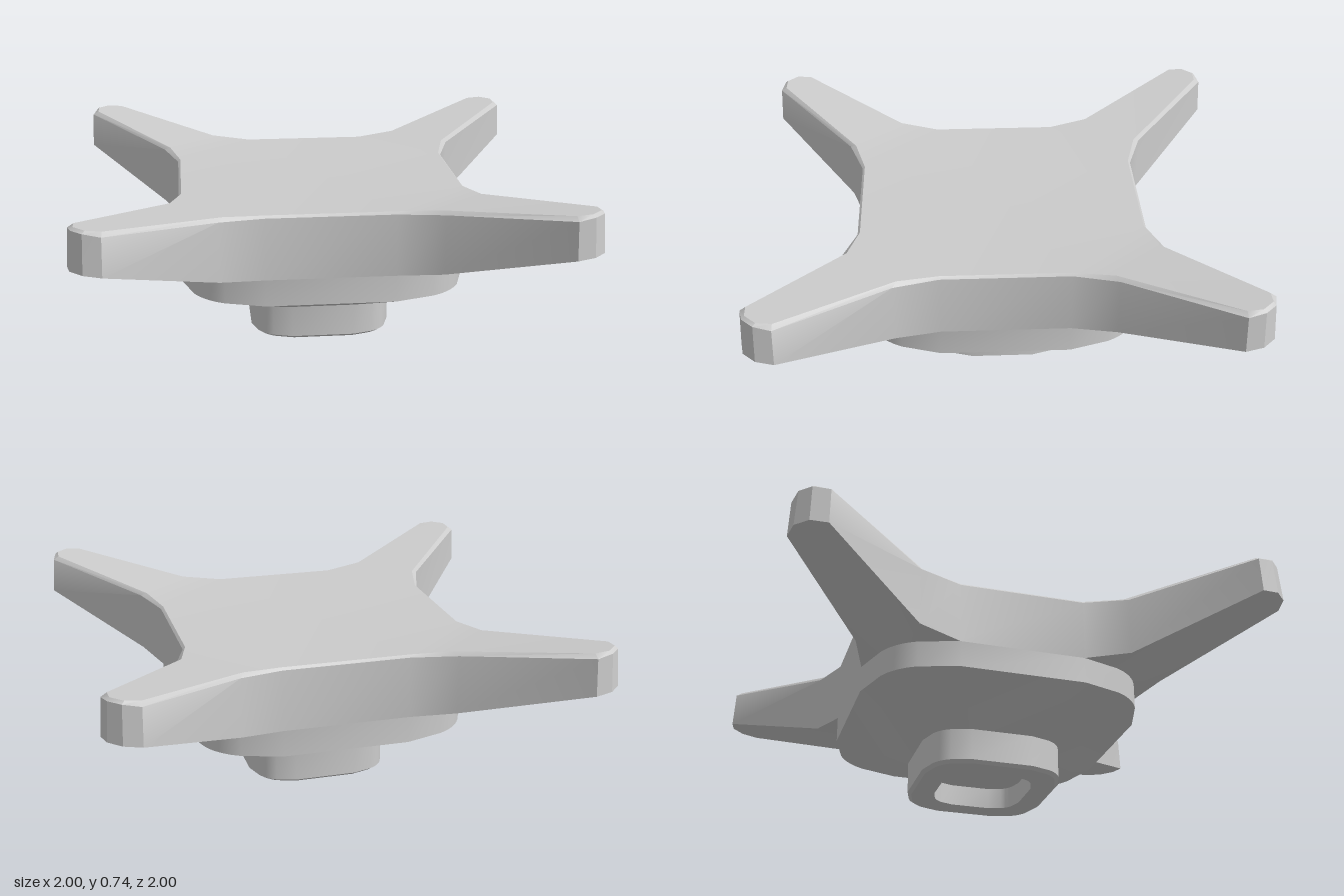
import * as THREE from 'three';
import { toCreasedNormals } from 'three/addons/utils/BufferGeometryUtils.js';

// One quarter of each outline as [x, z] or [x, z, y]; the rest is made by quarter turns.
const ROUND = [[0.26, 0.59], [0.42, 0.54], [0.455, 0.52], [0.48, 0.5],
  [0.5, 0.48], [0.52, 0.455], [0.54, 0.42], [0.59, 0.26]];
// Half of an arm outline, mirrored across its diagonal
const mirrorArm = half => [...half, ...half.slice().reverse().map(([x, z, y]) => [z, x, y])];
const ARM_UNDER = mirrorArm([[0.26, 0.59, 0.38], [0.44, 0.65, 0.4], [0.865, 0.998, 0.565], [0.935, 0.985, 0.572]]);
const ARM_SIDE = mirrorArm([[0.26, 0.59, 0.635], [0.44, 0.65, 0.645], [0.862, 0.99, 0.715], [0.93, 0.975, 0.725]]);
const ARM_TOP = mirrorArm([[0.26, 0.58, 0.645], [0.425, 0.625, 0.658], [0.86, 0.967, 0.73], [0.92, 0.965, 0.735]]);

// Full ring of 32 points, counterclockwise seen from above
function ring(quarter, scale = 1, height) {
  const points = [];
  for (let k = 0; k < 4; k++) {
    for (const [x, z, y] of quarter) {
      points.push(new THREE.Vector3(x * scale, height ?? y, z * scale)
        .applyAxisAngle(new THREE.Vector3(0, 1, 0), k * Math.PI / 2));
    }
  }
  return points;
}

function addTriangle(out, a, b, c) {
  if (new THREE.Triangle(a, b, c).getArea() < 1e-7) return;
  for (const p of [a, b, c]) out.push(p.x, p.y, p.z);
}

function addQuad(out, a, b, c, d) {
  addTriangle(out, a, b, c);
  addTriangle(out, a, c, d);
}

// Skin a sequence of rings
function loft(rings) {
  const out = [];
  for (let r = 0; r + 1 < rings.length; r++) {
    const a = rings[r], b = rings[r + 1], n = a.length;
    for (let i = 0; i < n; i++) {
      const j = (i + 1) % n;
      addQuad(out, a[i], a[j], b[j], b[i]);
    }
  }
  return out;
}

function makeMesh(name, positions) {
  const geometry = new THREE.BufferGeometry();
  geometry.setAttribute('position', new THREE.Float32BufferAttribute(positions, 3));
  const mesh = new THREE.Mesh(toCreasedNormals(geometry, Math.PI / 6),
    new THREE.MeshStandardMaterial({ color: 0xcccccc }));
  mesh.name = name;
  return mesh;
}

export function createModel() {
  const group = new THREE.Group();
  group.name = 'fourArmedKnob';

  // Pedestal with a shallow recess underneath
  const floor = ring(ROUND, 0.32, 0.09);
  const pedestal = loft([floor, ring(ROUND, 0.32, 0), ring(ROUND, 0.475, 0),
    ring(ROUND, 0.5, 0.012), ring(ROUND, 0.5, 0.145)]);
  const floorCentre = new THREE.Vector3(0, 0.09, 0);
  floor.forEach((p, i) => addTriangle(pedestal, floorCentre, floor[(i + 1) % floor.length], p));
  group.add(makeMesh('pedestal', pedestal));

  // Flaring base with an upright rim
  group.add(makeMesh('base', loft([ring(ROUND, 0.5, 0.145), ring(ROUND, 1, 0.27), ring(ROUND, 1, 0.38)])));

  // Arms: underside, side walls and bevelled top edge
  const top = ring(ARM_TOP);
  const arms = loft([ring(ROUND, 1, 0.38), ring(ARM_UNDER), ring(ARM_SIDE), top]);
  // Top surface: a strip along each arm and a fan over the flat middle
  const middle = [];
  for (let k = 0; k < 4; k++) {
    const p = top.slice(k * 8, k * 8 + 8);
    for (let i = 0; i < 3; i++) addQuad(arms, p[i], p[i + 1], p[6 - i], p[7 - i]);
    middle.push(p[0], p[7]);
  }
  const topCentre = new THREE.Vector3(0, 0.645, 0);
  middle.forEach((p, i) => addTriangle(arms, topCentre, p, middle[(i + 1) % middle.length]));
  group.add(makeMesh('arms', arms));

  return group;
}
